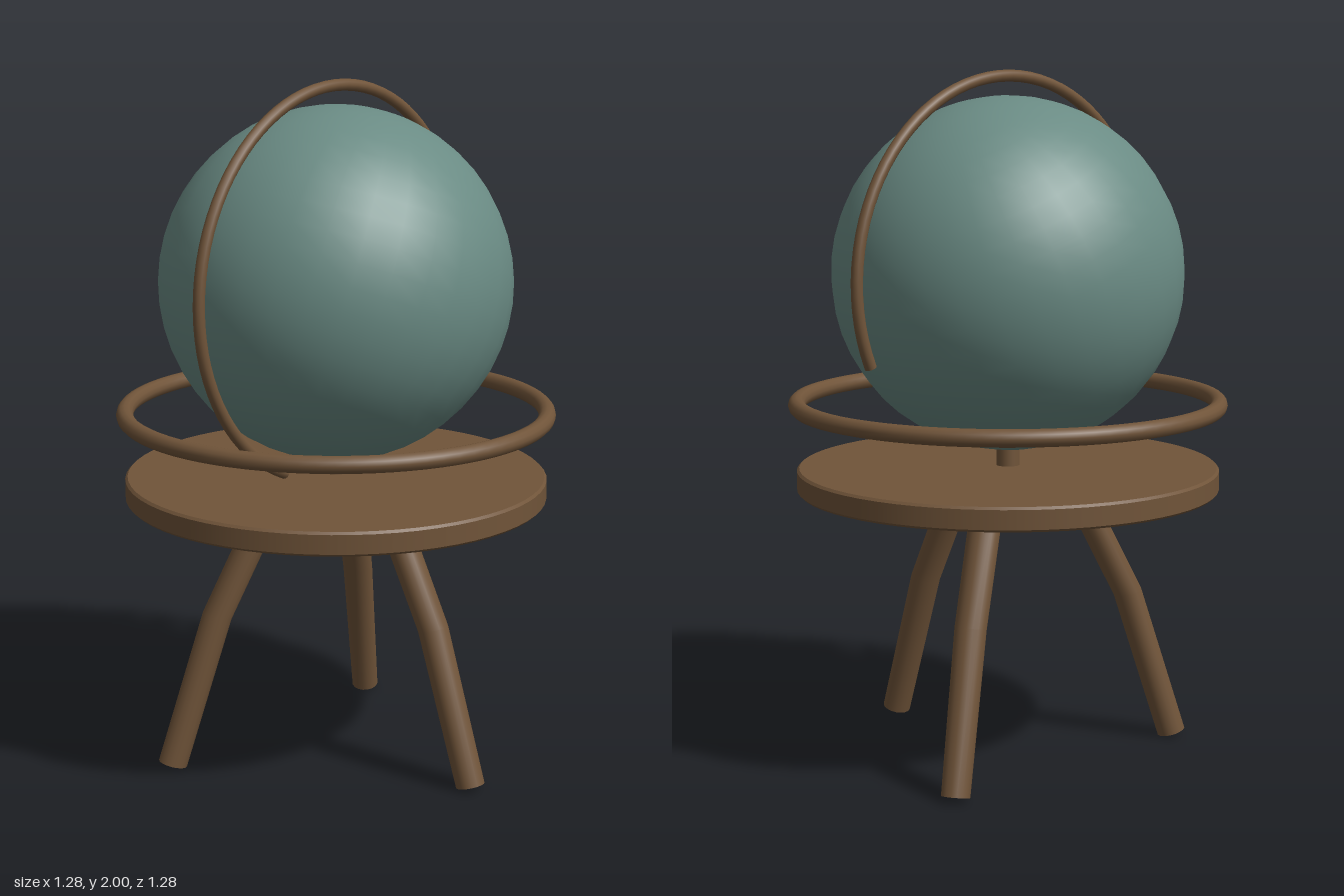
import * as THREE from 'three';

const wood = new THREE.MeshStandardMaterial({ color: 0x705439 });
wood.name = 'brown wood';
const teal = new THREE.MeshStandardMaterial({ color: 0x6a8b84 });
teal.name = 'muted teal';

const GLOBE_Y = 1.418;
const TILT = THREE.MathUtils.degToRad(23.4);

function add(parent, name, geometry, material, y = 0) {
  const mesh = new THREE.Mesh(geometry, material);
  mesh.name = name;
  mesh.position.y = y;
  parent.add(mesh);
  return mesh;
}

// Bent, tapering leg leaning out along +z: three rings of a cylinder moved into place
function legGeometry() {
  const rings = [
    { y: 0.78, z: 0.205, r: 0.048 },
    { y: 0.455, z: 0.368, r: 0.046 },
    { y: 0.0115, z: 0.51, r: 0.041 },
  ];
  const g = new THREE.CylinderGeometry(1, 1, 2, 16, 2);
  const p = g.attributes.position;
  for (let i = 0; i < p.count; i++) {
    const ring = rings[Math.round(1 - p.getY(i))];
    const across = p.getZ(i) * 0.041;
    p.setXYZ(i, p.getX(i) * ring.r, ring.y + across * 0.28, ring.z + across);
  }
  g.computeVertexNormals();
  // Close the shading seam along the side of the leg
  const n = g.attributes.normal;
  for (let row = 0; row < 3; row++) {
    const a = row * 17, b = a + 16;
    const v = new THREE.Vector3().fromBufferAttribute(n, a)
      .add(new THREE.Vector3().fromBufferAttribute(n, b)).normalize();
    n.setXYZ(a, v.x, v.y, v.z);
    n.setXYZ(b, v.x, v.y, v.z);
  }
  return g;
}

export function createModel() {
  const model = new THREE.Group();
  model.name = 'globe on stand';

  // Three splayed legs, one at the front
  const leg = legGeometry();
  ['frontLeg', 'backLeftLeg', 'backRightLeg'].forEach((name, i) => {
    add(model, name, leg, wood).rotation.y = i * Math.PI * 2 / 3;
  });

  // Round table top with small bevels: separate bands keep the edges crisp
  const profile = [[0, 0.788], [0.609, 0.788], [0.616, 0.795], [0.616, 0.85], [0.609, 0.857], [0, 0.857]];
  const top = new THREE.Group();
  top.name = 'tableTop';
  for (let i = 0; i < profile.length - 1; i++) {
    const points = [profile[i], profile[i + 1]].map(([x, y]) => new THREE.Vector2(x, y));
    add(top, 'tableTopBand', new THREE.LatheGeometry(points, 64), wood);
  }
  model.add(top);

  // Post and globe
  add(model, 'post', new THREE.CylinderGeometry(0.034, 0.034, 0.14, 20), wood, 0.9);
  const globe = add(model, 'globe', new THREE.SphereGeometry(0.51, 32, 24), teal, GLOBE_Y);
  globe.rotation.z = -TILT;

  // Horizontal ring floating round the lower globe
  add(model, 'horizonRing', new THREE.TorusGeometry(0.613, 0.025, 12, 80), wood, 1.043)
    .rotation.x = Math.PI / 2;

  // Three-quarter meridian ring, tilted, with flat ends
  const meridian = new THREE.Group();
  meridian.name = 'meridian';
  meridian.position.y = GLOBE_Y;
  meridian.rotation.z = -TILT;
  const R = 0.565, r = 0.017;
  add(meridian, 'meridianArc', new THREE.TorusGeometry(R, r, 12, 64, Math.PI * 1.5), wood);
  const startCap = add(meridian, 'meridianStart', new THREE.CircleGeometry(r, 12), wood);
  startCap.position.set(R, 0, 0);
  startCap.rotation.x = Math.PI / 2;
  const endCap = add(meridian, 'meridianEnd', new THREE.CircleGeometry(r, 12), wood);
  endCap.position.set(0, -R, 0);
  endCap.rotation.y = Math.PI / 2;
  model.add(meridian);

  return model;
}
